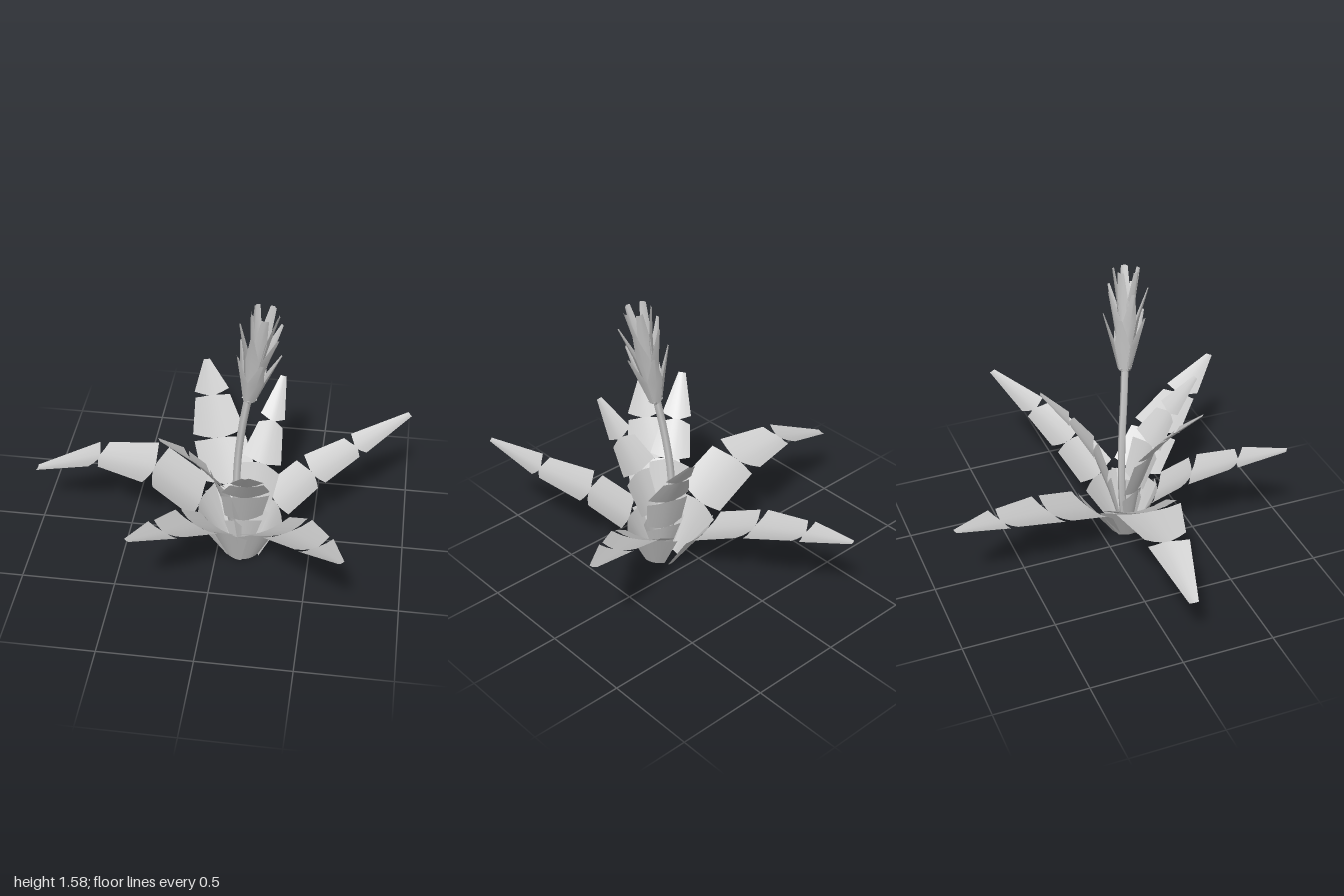
import * as THREE from 'three';

const material = new THREE.MeshStandardMaterial({ color: 0xcccccc, side: THREE.DoubleSide });
const V = (p) => new THREE.Vector3(...p);

// Ribbon surface from rows of points
function ribbon(rows) {
  const cols = rows[0].length, pos = [], idx = [];
  rows.forEach((r) => r.forEach((p) => pos.push(p.x, p.y, p.z)));
  for (let i = 0; i < rows.length - 1; i++) {
    for (let j = 0; j < cols - 1; j++) {
      const a = i * cols + j, b = a + cols;
      idx.push(a, a + 1, b, a + 1, b + 1, b);
    }
  }
  const g = new THREE.BufferGeometry();
  g.setAttribute('position', new THREE.Float32BufferAttribute(pos, 3));
  g.setIndex(idx);
  g.computeVertexNormals();
  return g;
}

// Leaf of four tapering blades along a spine, with V notches cut between them
function makeLeaf(name, spine, widths) {
  const group = new THREE.Group();
  group.name = name;
  const pts = spine.map(V);
  const out = pts[4].clone().sub(pts[0]).setY(0).normalize();
  const side = out.clone().cross(new THREE.Vector3(0, 1, 0));
  const columns = [-1, -0.6, -0.22, 0, 0.22, 0.6, 1];
  for (let i = 0; i < 4; i++) {
    const dir = pts[i + 1].clone().sub(pts[i]).normalize();
    const normal = side.clone().cross(dir).normalize();
    const row = (end) => columns.map((u) => {
      const half = widths[i + end] / 2;
      const notch = Math.max(0, Math.abs(u) - 0.22) / 0.78 * 0.022;
      const shift = end ? (i < 3 ? -notch : 0) : (i > 0 ? notch : 0);
      return pts[i + end].clone()
        .addScaledVector(side, u * half)
        .addScaledVector(dir, shift)
        .addScaledVector(normal, 0.2 * half * u * u);
    });
    const mesh = new THREE.Mesh(ribbon([row(0), row(1)]), material);
    mesh.name = name + 'Blade' + (i + 1);
    group.add(mesh);
  }
  return group;
}

// Spines run from the base to the tip
const outerWidths = [0.11, 0.3, 0.29, 0.2, 0.035];
const innerWidths = [0.06, 0.2, 0.25, 0.17, 0.035];
const leaves = [
  ['outerLeafRight', [[0.06, 0.01, 0.14], [-0.1, 0.29, 0.1], [-0.35, 0.47, 0.07], [-0.65, 0.5, 0.05], [-1, 0.38, 0.045]], [0.12, 0.36, 0.35, 0.22, 0.05]],
  ['outerLeafBack', [[0.12, 0.01, 0.07], [0.04, 0.27, -0.1], [-0.06, 0.38, -0.36], [-0.14, 0.46, -0.65], [-0.21, 0.52, -0.92]], outerWidths],
  ['outerLeafLeft', [[0.21, 0.01, 0.13], [0.31, 0.27, 0.04], [0.49, 0.42, -0.06], [0.71, 0.53, -0.18], [0.985, 0.66, -0.34]], [0.11, 0.28, 0.26, 0.18, 0.04]],
  ['outerLeafFrontLeft', [[0.19, 0.01, 0.2], [0.27, 0.27, 0.27], [0.4, 0.42, 0.44], [0.56, 0.53, 0.66], [0.7, 0.66, 0.9]], outerWidths],
  ['outerLeafFrontRight', [[0.09, 0.01, 0.21], [0.04, 0.27, 0.29], [-0.06, 0.42, 0.45], [-0.19, 0.54, 0.66], [-0.34, 0.65, 0.87]], outerWidths],
  ['innerLeafBack', [[0.16, 0.01, 0.13], [0.19, 0.28, 0.06], [0.22, 0.5, -0.01], [0.26, 0.7, -0.13], [0.3, 0.89, -0.28]], [0.06, 0.2, 0.23, 0.14, 0.035]],
  ['innerLeafRight', [[0.11, 0.01, 0.16], [0.07, 0.29, 0.18], [0, 0.55, 0.23], [-0.11, 0.73, 0.3], [-0.25, 0.92, 0.41]], [0.06, 0.2, 0.22, 0.16, 0.04]],
  ['innerLeafFront', [[0.14, 0.01, 0.18], [0.15, 0.28, 0.21], [0.17, 0.51, 0.3], [0.19, 0.68, 0.42], [0.2, 0.86, 0.58]], innerWidths],
];

// Petal tiers: count, turn, then [height, radius, width] stations
const tiers = [
  { name: 'lowerPetal', count: 5, turn: 0.3, at: [[0, 0.035, 0.045], [0.15, 0.075, 0.085], [0.31, 0.12, 0.02]] },
  { name: 'middlePetal', count: 5, turn: 0.9, at: [[0.08, 0.035, 0.04], [0.28, 0.07, 0.075], [0.45, 0.115, 0.02]] },
  { name: 'upperPetal', count: 5, turn: 0.1, at: [[0.2, 0.03, 0.04], [0.38, 0.05, 0.065], [0.55, 0.075, 0.035]] },
];

function makeFlower() {
  const flower = new THREE.Group();
  flower.name = 'flower';
  const cap = new THREE.Mesh(new THREE.CylinderGeometry(0.042, 0.022, 0.025, 5), material);
  cap.name = 'flowerBase';
  flower.add(cap);
  for (const tier of tiers) {
    // Slightly folded strip, bent outward at the middle
    const rows = tier.at.map(([y, r, w]) => [-1, 0, 1].map(
      (u) => new THREE.Vector3(-u * w / 2, y, r - Math.abs(u) * w * 0.22)));
    const geometry = ribbon(rows);
    for (let i = 0; i < tier.count; i++) {
      const petal = new THREE.Mesh(geometry, material);
      petal.name = tier.name;
      petal.rotation.y = tier.turn + i * Math.PI * 2 / tier.count;
      flower.add(petal);
    }
  }
  flower.position.set(0.165, 1.03, 0.148);
  flower.rotation.set(0.07, 0, -0.14);
  return flower;
}

export function createModel() {
  const model = new THREE.Group();
  model.name = 'floweringPlant';
  for (const leaf of leaves) model.add(makeLeaf(...leaf));

  // Slender curved stem
  const path = new THREE.CatmullRomCurve3([
    [0.13, 0.01, 0.14], [0.1, 0.3, 0.11], [0.105, 0.6, 0.11], [0.13, 0.85, 0.13], [0.16, 1.04, 0.147],
  ].map(V));
  const stem = new THREE.Mesh(new THREE.TubeGeometry(path, 12, 0.021, 5), material);
  stem.name = 'stem';
  model.add(stem, makeFlower());
  return model;
}
